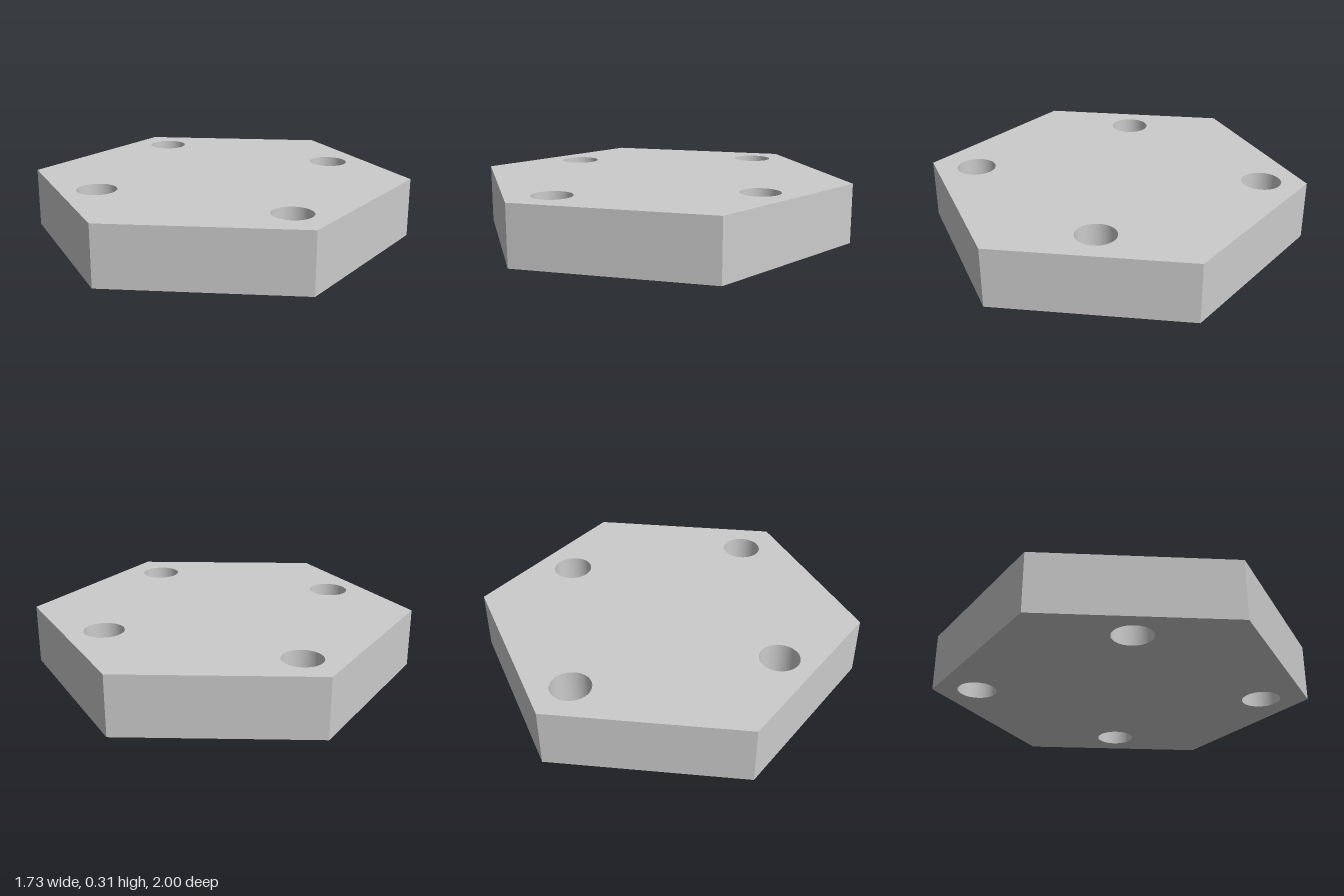
import * as THREE from 'three';

const HEIGHT = 0.31;
const HOLE_RADIUS = 0.102;
// hole centres as [x, z]
const HOLES = [[0, -0.767], [-0.68, 0], [0.67, 0], [0.02, 0.75]];

export function createModel() {
  const group = new THREE.Group();
  group.name = 'hexagonalPlate';

  // hexagon outline with corners at front and back
  const corners = [];
  for (let i = 0; i < 6; i++) {
    const a = Math.PI / 2 + (i * Math.PI) / 3;
    corners.push(new THREE.Vector2(Math.cos(a), Math.sin(a)));
  }
  const outline = new THREE.Shape(corners);

  // round through holes
  for (const [x, z] of HOLES) {
    outline.holes.push(new THREE.Path().absarc(x, -z, HOLE_RADIUS, 0, Math.PI * 2, true));
  }

  // lay the extrusion flat so its depth becomes the height
  const geometry = new THREE.ExtrudeGeometry(outline, {
    depth: HEIGHT, bevelEnabled: false, curveSegments: 48,
  });
  geometry.rotateX(-Math.PI / 2);

  const plate = new THREE.Mesh(
    geometry,
    new THREE.MeshStandardMaterial({ color: 0xcccccc, flatShading: true }),
  );
  plate.name = 'plate';
  group.add(plate);
  return group;
}
